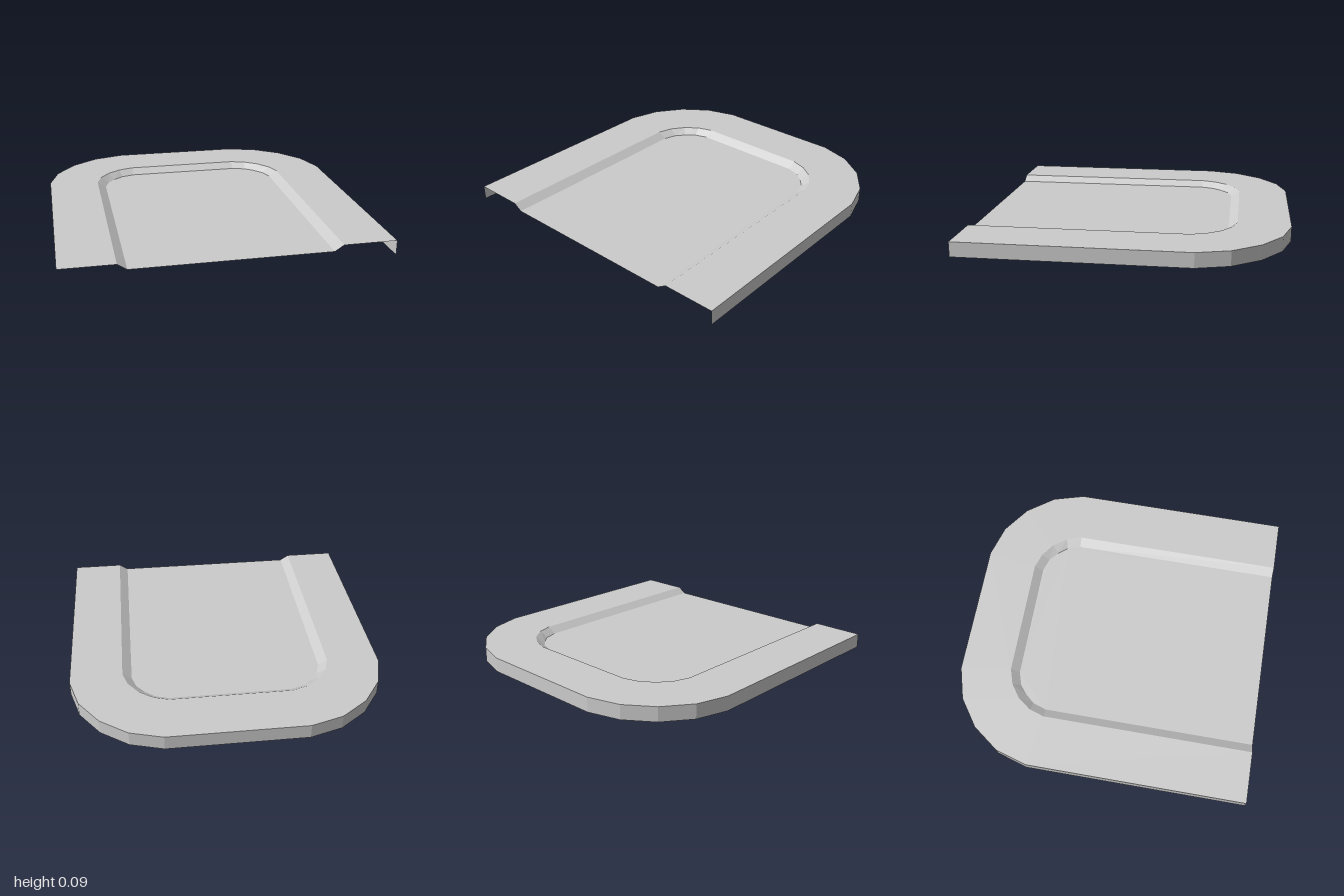
import * as THREE from 'three';

const TOP = 0.094, FLOOR = 0.057, FRONT = 1;
const material = new THREE.MeshStandardMaterial({
  color: 0xcccccc, flatShading: true, side: THREE.DoubleSide,
});

// Open arch: front left end, around the back, to the front right end, as [x, z]
function arch(corner) {
  const half = [[corner[0][0], FRONT], ...corner];
  return [...half, ...half.map(([x, z]) => [-x, z]).reverse()];
}

const outer = arch([[1, -0.435], [0.94, -0.64], [0.813, -0.815], [0.64, -0.94], [0.435, -1]]);
const lip = arch([[0.667, -0.385], [0.635, -0.485], [0.572, -0.572], [0.485, -0.635], [0.385, -0.667]]);
const inner = arch([[0.61, -0.385], [0.582, -0.472], [0.532, -0.532], [0.472, -0.582], [0.385, -0.61]]);

// Strip of flat quads between two matching arches
function strip(name, a, ya, b, yb) {
  const pos = [];
  for (let i = 0; i < a.length - 1; i++) {
    const [p, q] = [a[i], a[i + 1]].map(([x, z]) => [x, ya, z]);
    const [r, s] = [b[i + 1], b[i]].map(([x, z]) => [x, yb, z]);
    pos.push(...p, ...q, ...r, ...p, ...r, ...s);
  }
  const geometry = new THREE.BufferGeometry();
  geometry.setAttribute('position', new THREE.Float32BufferAttribute(pos, 3));
  geometry.computeVertexNormals();
  const mesh = new THREE.Mesh(geometry, material);
  mesh.name = name;
  return mesh;
}

export function createModel() {
  const group = new THREE.Group();
  group.name = 'recessedTray';

  // Thin shell, open underneath and along the front
  group.add(
    strip('outerSkirt', outer, 0, outer, TOP),
    strip('raisedRim', outer, TOP, lip, TOP),
    strip('slopedLip', lip, TOP, inner, FLOOR),
  );

  // Sunken floor
  const shape = new THREE.Shape(inner.map(([x, z]) => new THREE.Vector2(x, -z)));
  const floor = new THREE.Mesh(new THREE.ShapeGeometry(shape).rotateX(-Math.PI / 2), material);
  floor.position.y = FLOOR;
  floor.name = 'recessedFloor';
  group.add(floor);

  return group;
}
